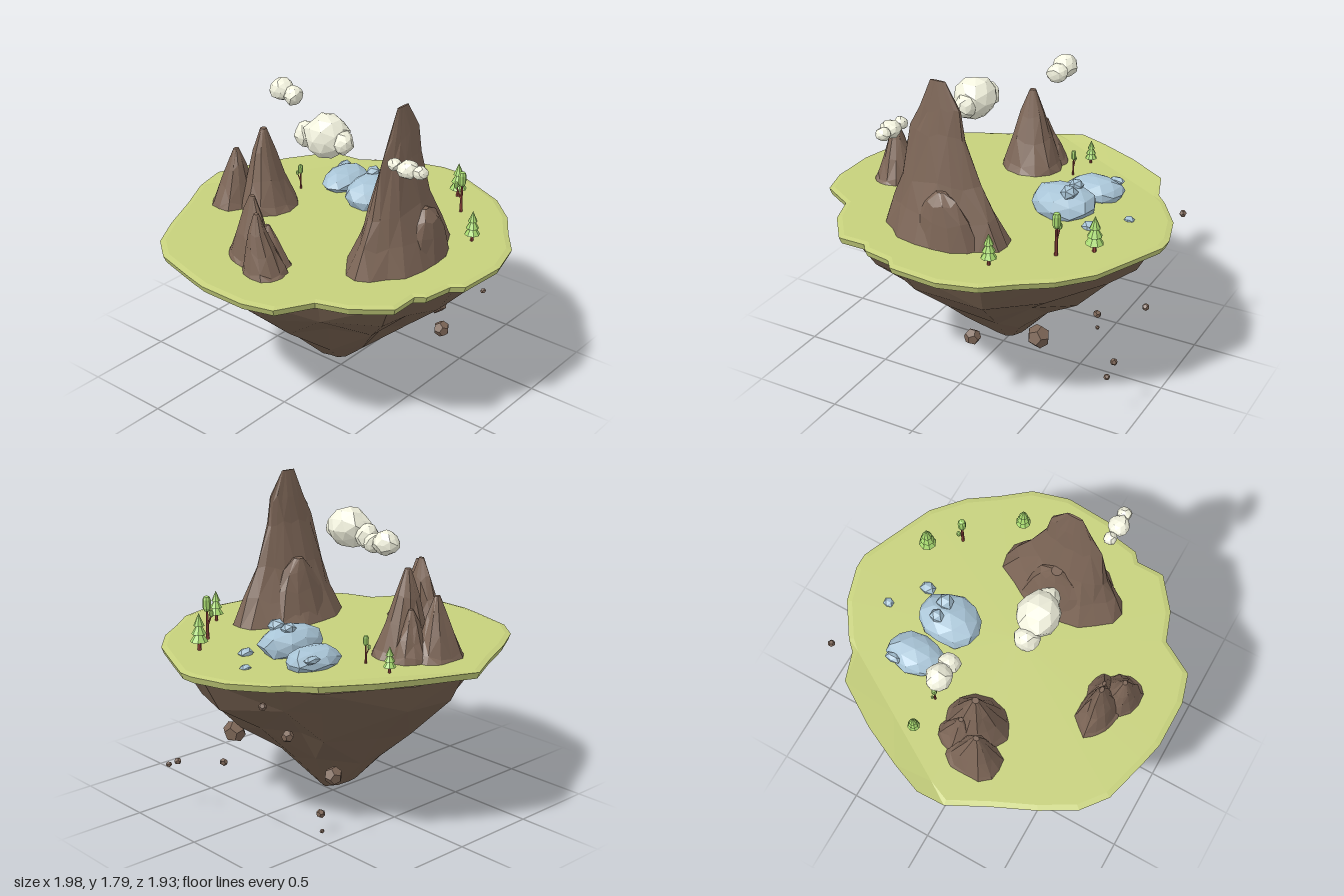
import * as THREE from 'three';

const mat = (color) => new THREE.MeshStandardMaterial({ color, flatShading: true, side: THREE.DoubleSide });
const GRASS = mat(0xc6d07c), ROCK = mat(0x7d6657), EARTH = mat(0x75604f), STONE = mat(0xa8c4d6),
  CLOUD = mat(0xf4f4e0), LEAF = mat(0xa8da70), TRUNK = mat(0x9c4a42);

// repeatable noise in -1..1
const noise = (a, b = 0, c = 0) => {
  const s = Math.sin(Math.round(a * 50) * 12.99 + Math.round(b * 50) * 78.23 + Math.round(c * 50) * 37.72) * 43758.55;
  return (s - Math.floor(s)) * 2 - 1;
};

// closed faceted skin through rings listed from bottom to top
function loft(rings) {
  const pos = [], n = rings[0].length;
  const tri = (...p) => p.forEach((q) => pos.push(...q));
  const mid = (ring) => [0, 1, 2].map((k) => ring.reduce((s, p) => s + p[k], 0) / n);
  const low = rings[0], top = rings[rings.length - 1], cl = mid(low), ct = mid(top);
  for (let i = 0; i < n; i++) {
    const j = (i + 1) % n;
    tri(cl, low[i], low[j]);
    tri(ct, top[j], top[i]);
    for (let k = 0; k + 1 < rings.length; k++) {
      const a = rings[k], b = rings[k + 1];
      if ((i + k) % 2) { tri(a[i], b[i], a[j]); tri(b[i], b[j], a[j]); }
      else { tri(a[i], b[i], b[j]); tri(a[i], b[j], a[j]); }
    }
  }
  const g = new THREE.BufferGeometry();
  g.setAttribute('position', new THREE.Float32BufferAttribute(pos, 3));
  g.computeVertexNormals();
  return g;
}

function add(parent, name, geo, material, x = 0, y = 0, z = 0) {
  const m = new THREE.Mesh(geo, material);
  m.name = name;
  m.position.set(x, y, z);
  parent.add(m);
  return m;
}

function group(parent, name) {
  const g = new THREE.Group();
  g.name = name;
  parent.add(g);
  return g;
}

// faceted boulder or cloud puff
function lump(parent, name, material, [x, y, z, rx, ry, rz], detail) {
  const g = new THREE.IcosahedronGeometry(1, detail), p = g.attributes.position;
  for (let i = 0; i < p.count; i++) {
    const a = p.getX(i), b = p.getY(i), c = p.getZ(i);
    const s = 1 + 0.08 * noise(a + x * 9, b + y * 9, c + z * 9);
    p.setXYZ(i, a * s * rx, b * s * ry, c * s * rz);
  }
  g.computeVertexNormals();
  add(parent, name, g, material, x, y, z);
}

// fluted peak; each level is [y, centre x, centre z, radius x, radius z]
function peak(parent, name, levels, n) {
  const rings = levels.map(([y, cx, cz, rx, rz], k) => Array.from({ length: n }, (_, i) => {
    const t = (i / n) * Math.PI * 2;
    const s = 1 + (k < levels.length - 1 ? 0.07 * noise(i, levels[0][1]) + 0.05 * noise(i, k, cz) : 0);
    const dy = k > 0 && k < levels.length - 1 ? 0.02 * noise(k, i, cx) : 0;
    return [cx + Math.cos(t) * rx * s, y + dy, cz + Math.sin(t) * rz * s];
  }));
  add(parent, name, loft(rings), ROCK);
}

// simple peak leaning from its foot to its tip
function hill(parent, name, foot, tip, rx, rz) {
  const profile = [[0, 1], [0.12, 0.86], [0.4, 0.61], [0.7, 0.37], [1, 0.1]];
  peak(parent, name, profile.map(([t, r]) => {
    const lean = Math.min(1, t * 1.4);
    return [0.92 + (tip[1] - 0.92) * t, foot[0] + (tip[0] - foot[0]) * lean,
      foot[1] + (tip[2] - foot[1]) * lean, rx * r, rz * r];
  }), 12);
}

const shore = [[-.14, -.96], [.02, -.97], [.20, -.90], [.43, -.79], [.68, -.63], [.74, -.46], [.80, -.40], [.93, -.21],
  [.99, -.01], [.99, .08], [.91, .27], [.81, .50], [.66, .67], [.50, .78], [.35, .90], [.14, .96], [-.14, .94],
  [-.19, .88], [-.35, .85], [-.39, .80], [-.55, .80], [-.69, .62], [-.75, .45], [-.94, .34], [-.99, .17],
  [-.99, -.10], [-.96, -.23], [-.89, -.49], [-.78, -.63], [-.59, -.74], [-.35, -.85]];

function island(root) {
  // grass slab with a lifted lip behind a crease at the back
  const past = (x, z) => Math.max(0, 0.514 * x - 0.857 * z - 0.746);
  const ring = (s, y, lift) => shore.map(([x, z]) => [x * s, y + lift * Math.min(0.03, past(x, z) * 0.3), z * s]);
  const inner = ring(0.968, 0.933, 0).map(([x, y, z]) => {
    const e = past(x, z);
    return [x - 0.514 * e, y, z + 0.857 * e];
  });
  add(root, 'grass', loft([ring(0.86, 0.878, 0), ring(0.985, 0.888, 1), ring(1, 0.925, 1), inner]), GRASS);

  // tapering earth underneath, a little wider to the front right, ending in a slanted blunt tip
  const base = shore.filter((_, i) => i % 2 === 0);
  const layer = (s, y, cx, cz, rough, flare = 0, slant = 0) => base.map(([x, z], i) => {
    const k = s * (1 + rough * noise(i, y)) + flare * Math.max(0, x + z);
    return [cx + x * k, y + rough * 0.45 * noise(y, i) - slant * (x + z), cz + z * k];
  });
  add(root, 'earth', loft([layer(0.115, 0.1, 0, -0.06, 0, 0, 0.022), layer(0.33, 0.3, 0, -0.02, 0.09),
    layer(0.56, 0.51, 0.01, 0, 0.09), layer(0.8, 0.72, 0, 0, 0.05), layer(0.9, 0.885, 0, 0, 0, 0.025)]), EARTH);
}

function mountains(root) {
  const big = group(root, 'greatMountain');
  peak(big, 'mainPeak', [[.92, -.09, .47, .37, .215], [1.08, -.095, .48, .295, .15], [1.25, -.105, .485, .23, .1],
    [1.5, -.11, .49, .158, .05], [1.64, -.095, .49, .118, .03], [1.79, -.105, .49, .045, .006]], 18);
  peak(big, 'frontShoulder', [[.92, -.03, .575, .21, .112], [1.08, -.03, .59, .155, .08], [1.18, -.035, .6, .09, .055],
    [1.23, -.04, .59, .025, .025]], 11);
  peak(big, 'backShoulder', [[.92, -.1, .37, .23, .11], [1.12, -.09, .385, .16, .075], [1.23, -.08, .39, .1, .055],
    [1.3, -.08, .38, .03, .03]], 11);
  const back = group(root, 'backMountain');
  hill(back, 'tallPeak', [-.07, -.48], [-.08, 1.4, -.495], .185, .17);
  hill(back, 'lowPeak', [-.15, -.65], [-.16, 1.265, -.635], .17, .13);
  hill(back, 'shoulder', [-.02, -.58], [-.03, 1.2, -.57], .125, .12);
  const side = group(root, 'sideMountain');
  hill(side, 'frontPeak', [-.67, .045], [-.69, 1.26, .01], .125, .135);
  hill(side, 'backPeak', [-.61, -.1], [-.605, 1.3, -.095], .115, .165);
  hill(side, 'shoulder', [-.575, .01], [-.585, 1.15, -.01], .085, .13);
}

function pine(root, x, z, s) {
  const g = group(root, 'pineTree');
  g.position.set(x, 0.925, z);
  g.scale.setScalar(s);
  add(g, 'trunk', new THREE.CylinderGeometry(.009, .011, .08, 6), TRUNK, 0, .04, 0);
  [[.05, .075, .095], [.041, .07, .135], [.03, .07, .18]].forEach(([r, h, y]) =>
    add(g, 'needles', new THREE.ConeGeometry(r, h, 8), LEAF, 0, y, 0));
}

function forkedTree(root, x, z, s) {
  const g = group(root, 'forkedTree');
  g.position.set(x, 0.925, z);
  g.scale.setScalar(s);
  add(g, 'trunk', new THREE.CylinderGeometry(.006, .01, .18, 6), TRUNK, 0, .09, 0);
  const path = new THREE.LineCurve3(new THREE.Vector3(0, .08, 0), new THREE.Vector3(0, .15, -.036));
  add(g, 'branch', new THREE.TubeGeometry(path, 1, .005, 5), TRUNK);
  add(g, 'crown', new THREE.CapsuleGeometry(.023, .048, 2, 8), LEAF, 0, .21, 0);
  add(g, 'sideCrown', new THREE.CapsuleGeometry(.013, .016, 2, 7), LEAF, 0, .162, -.038);
}

export function createModel() {
  const root = new THREE.Group();
  root.name = 'floatingIsland';
  island(root);
  mountains(root);

  // trees
  [[.70, .30, 1], [.29, .68, .87], [.22, -.665, .7]].forEach((t) => pine(root, ...t));
  [[.545, .43, 1], [.2, -.47, .63]].forEach((t) => forkedTree(root, ...t));

  // blue boulders: two large ones, with small stones on and around them
  const stones = group(root, 'blueBoulders');
  [[.35, .985, -.045, .188, .1, .15], [.42, .965, -.305, .168, .072, .118]]
    .forEach((b) => lump(stones, 'boulder', STONE, b, 1));
  [[.405, 1.08, -.09, .045, .035, .04], [.405, 1.075, .005, .05, .042, .05], [.51, 1.0, -.395, .05, .025, .03],
    [.565, .94, .075, .05, .03, .04], [.715, .935, -.11, .033, .02, .03]]
    .forEach((b) => lump(stones, 'smallStone', STONE, b, 0));

  // clouds
  const clouds = {
    middleCloud: [[-.155, 1.52, .03, .116, .116, .128], [-.155, 1.51, .14, .062, .065, .06],
      [-.16, 1.495, -.105, .07, .075, .065]],
    backCloud: [[.11, 1.57, -.52, .07, .065, .075], [.105, 1.555, -.43, .062, .055, .05]],
    frontCloud: [[-.285, 1.555, .665, .058, .048, .058], [-.28, 1.555, .575, .036, .034, .036],
      [-.28, 1.555, .735, .04, .036, .042]],
  };
  for (const [name, puffs] of Object.entries(clouds)) {
    const g = group(root, name);
    puffs.forEach((p) => lump(g, 'puff', CLOUD, p, 1));
  }

  // loose rocks drifting below
  const debris = group(root, 'driftingRocks');
  [[.145, .415, .605, .046], [.42, .37, .37, .066], [.25, .25, -.275, .053], [.605, .585, -.31, .034],
    [.85, .44, -.08, .021], [.85, .32, .33, .02], [.85, .275, .415, .017], [.89, .86, -.455, .021],
    [.43, .113, -.37, .025], [.43, .013, -.38, .013]].forEach(([x, y, z, r], i) => {
    const rock = add(debris, 'driftingRock', new THREE.DodecahedronGeometry(r, 0), ROCK, x, y, z);
    rock.rotation.set(i * 1.3, i * 0.7, i);
  });
  return root;
}
